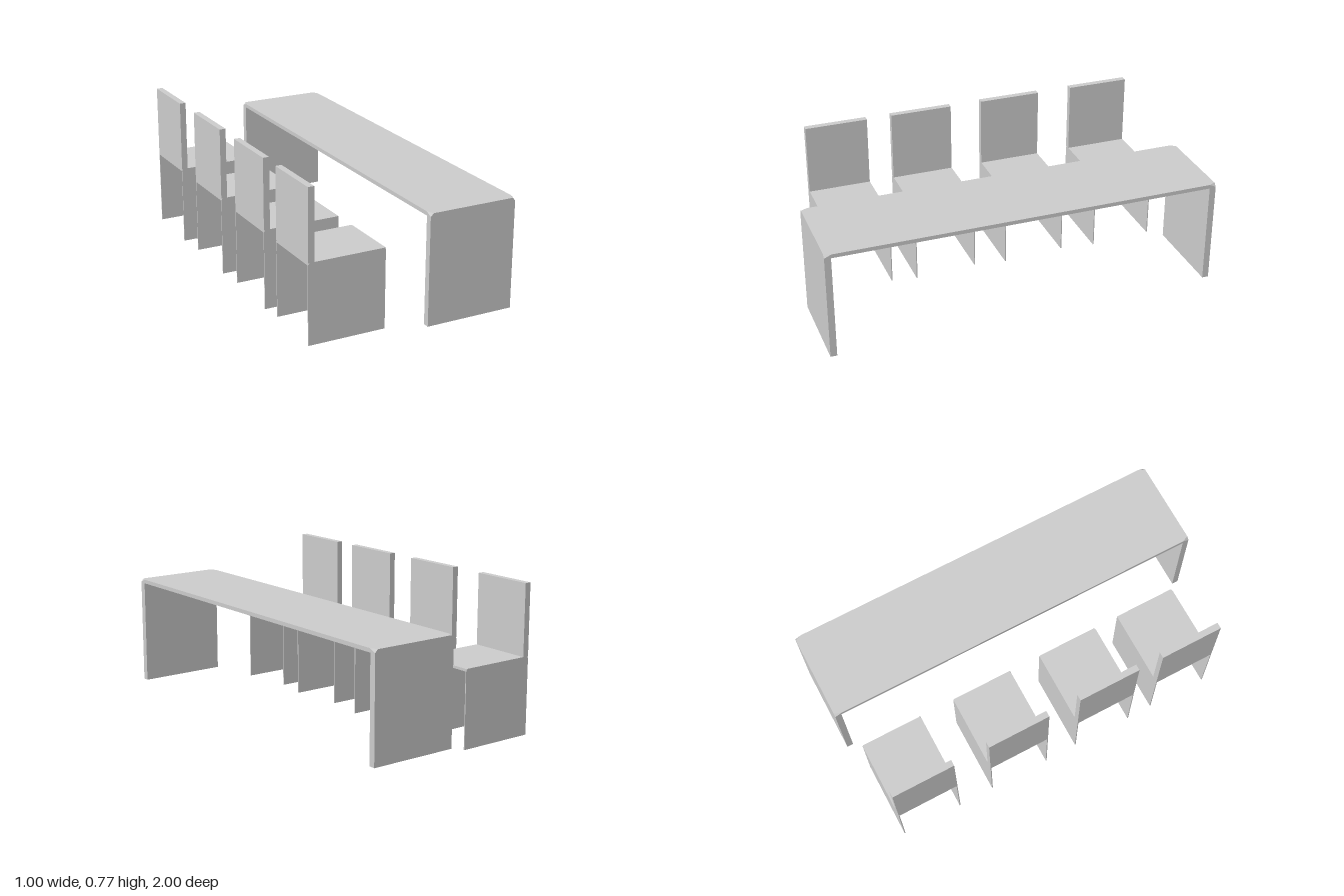
import * as THREE from 'three';
import { ConvexGeometry } from 'three/addons/geometries/ConvexGeometry.js';

const material = new THREE.MeshStandardMaterial({ color: 0xcccccc, flatShading: true });

function addMesh(parent, name, geometry) {
  const mesh = new THREE.Mesh(geometry, material);
  mesh.name = name;
  parent.add(mesh);
  return mesh;
}

// Box given by its limits on each axis
function addBox(parent, name, [x0, x1], [y0, y1], [z0, z1]) {
  const mesh = addMesh(parent, name, new THREE.BoxGeometry(x1 - x0, y1 - y0, z1 - z0));
  mesh.position.set((x0 + x1) / 2, (y0 + y1) / 2, (z0 + z1) / 2);
}

// Slab whose four upper corners are cut off diagonally by cut = [x, y, z]
function addSlab(parent, name, [x0, x1], [y0, y1], [z0, z1], cut) {
  const points = [];
  for (const [x, sx] of [[x0, 1], [x1, -1]]) {
    for (const [z, sz] of [[z0, 1], [z1, -1]]) {
      points.push(
        new THREE.Vector3(x, y0, z),
        new THREE.Vector3(x, y1 - cut[1], z),
        new THREE.Vector3(x + sx * cut[0], y1, z),
        new THREE.Vector3(x, y1, z + sz * cut[2])
      );
    }
  }
  addMesh(parent, name, new ConvexGeometry(points));
}

// Long table: a top on a solid panel at each end
function createTable() {
  const table = new THREE.Group();
  table.name = 'table';
  const width = [0.04, 0.5];
  addSlab(table, 'tableTop', width, [0.585, 0.605], [-1, 1], [0.015, 0.016, 0.035]);
  addBox(table, 'frontEndPanel', width, [0.045, 0.585], [0.967, 1]);
  addBox(table, 'backEndPanel', width, [0.064, 0.585], [-1, -0.967]);
  return table;
}

// Chair: thin side panels, seat and upright back, centred on z = 0
function createChair() {
  const chair = new THREE.Group();
  chair.name = 'chair';
  const depth = [-0.5, -0.097], half = 0.162, thin = 0.005;
  addSlab(chair, 'seat', depth, [0.397, 0.41], [-half, half], [0.01, 0.01, 0.005]);
  addBox(chair, 'frontSidePanel', depth, [0, 0.397], [half - thin, half]);
  addBox(chair, 'backSidePanel', depth, [0.015, 0.397], [-half, -half + thin]);
  addBox(chair, 'backrest', [-0.5, -0.468], [0.408, 0.772], [-half, half]);
  return chair;
}

export function createModel() {
  const model = new THREE.Group();
  model.name = 'tableWithChairs';
  model.add(createTable());

  // Row of four chairs along one side of the table
  for (const z of [-0.779, -0.27, 0.223, 0.678]) {
    const chair = createChair();
    chair.position.z = z;
    model.add(chair);
  }
  return model;
}
